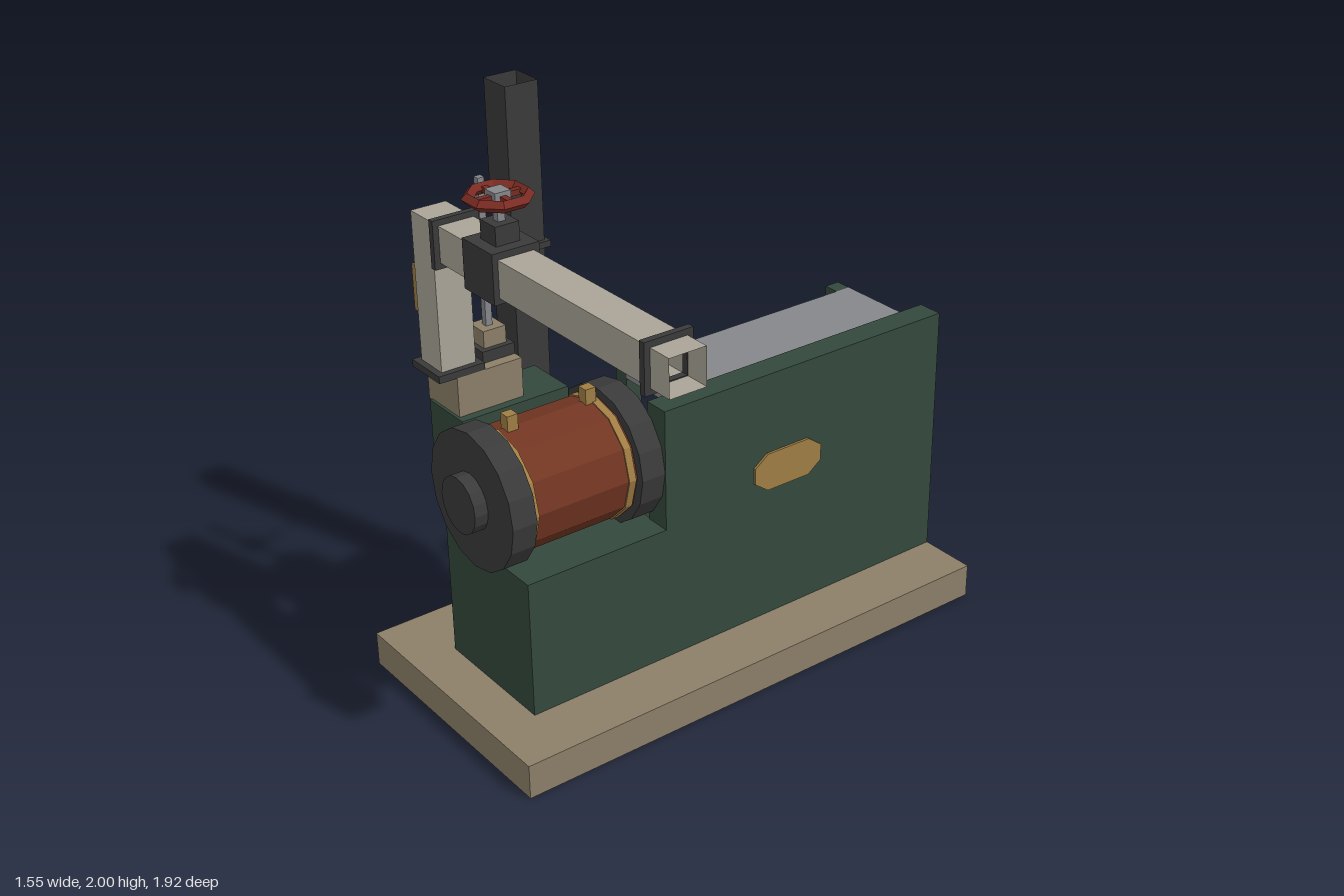
import * as THREE from 'three';

const paint = (name, color) => {
  const m = new THREE.MeshStandardMaterial({ color, side: THREE.DoubleSide, flatShading: true });
  m.name = name;
  return m;
};

export function createModel() {
  const root = new THREE.Group();
  root.name = 'steamEngine';
  const stone = paint('stone', 0x8c7f68);
  const green = paint('darkGreen', 0x34483c);
  const grey = paint('steelGrey', 0x86878b);
  const black = paint('ironBlack', 0x3a3a3b);
  const copper = paint('copperBrown', 0x733622);
  const brass = paint('brass', 0xa07d44);
  const cream = paint('pipeCream', 0xaaa497);
  const red = paint('wheelRed', 0x7a2b22);

  const add = (name, geo, mat, x = 0, y = 0, z = 0) => {
    const mesh = new THREE.Mesh(geo, mat);
    mesh.name = name;
    mesh.position.set(x, y, z);
    root.add(mesh);
    return mesh;
  };

  // box between limits; open lists faces left out (0..5 = +x -x +y -y +z -z)
  const box = (name, mat, [x0, x1], [y0, y1], [z0, z1], open = []) => {
    const geo = new THREE.BoxGeometry(x1 - x0, y1 - y0, z1 - z0);
    if (open.length) {
      const index = Array.from(geo.index.array);
      geo.setIndex(index.filter((_, i) => !open.includes(Math.floor(i / 6))));
      geo.clearGroups();
    }
    return add(name, geo, mat, (x0 + x1) / 2, (y0 + y1) / 2, (z0 + z1) / 2);
  };

  // cylinder lying along z
  const drum = (name, mat, r, z0, z1, sides, x, y) => {
    const geo = new THREE.CylinderGeometry(r, r, z1 - z0, sides).rotateX(Math.PI / 2);
    return add(name, geo, mat, x, y, (z0 + z1) / 2);
  };

  // hollow base with ribs below
  box('base', stone, [-0.72, 0.235], [0, 0.125], [-0.96, 0.96], [3, 5]);
  box('baseLongRib', stone, [0.107, 0.112], [0, 0.124], [-0.96, 0.96]);
  box('baseCrossRib', stone, [-0.72, 0.235], [0, 0.124], [0.38, 0.385]);

  // bed: front block, low and tall side walls
  box('bedFront', green, [-0.47, 0.02], [0.125, 0.625], [0.245, 0.795]);
  box('lowWall', green, [-0.47, -0.37], [0.125, 0.625], [-0.96, 0.25], [3, 5]);
  box('tallWall', green, [-0.075, 0.02], [0.125, 1.065], [-0.96, 0.25], [3, 5]);

  // slide bars and their posts
  box('upperSlide', grey, [-0.37, -0.075], [0.99, 1.05], [-0.88, 0.12]);
  box('lowerSlide', grey, [-0.37, -0.075], [0.635, 0.7], [-0.88, 0.12]);
  for (const z of [-0.88, 0.06]) box('slidePost', green, [-0.43, -0.37], [0.625, 1.05], [z, z + 0.06]);

  // side bracket
  box('bracket', green, [-0.54, -0.47], [0.61, 0.79], [-0.42, -0.3]);
  box('bracketCap', grey, [-0.54, -0.47], [0.79, 0.85], [-0.42, -0.3]);

  // oval plate on the tall wall
  const plate = new THREE.Shape();
  plate.setFromPoints([[-0.145, -0.03], [-0.09, -0.07], [0.09, -0.07], [0.145, -0.03],
    [0.145, 0.03], [0.09, 0.07], [-0.09, 0.07], [-0.145, 0.03]].map(p => new THREE.Vector2(...p)));
  const plateGeo = new THREE.ExtrudeGeometry(plate, { depth: 0.009, bevelEnabled: false }).rotateY(Math.PI / 2);
  add('sidePlate', plateGeo, brass, 0.021, 0.7, -0.265);

  // main cylinder with bands, covers and fittings
  const cx = -0.225, cy = 0.837;
  drum('cylinderBody', copper, 0.213, 0.3, 0.78, 12, cx, cy);
  for (const z of [0.347, 0.722]) drum('cylinderBand', brass, 0.218, z, z + 0.027, 12, cx, cy);
  drum('rearCover', black, 0.243, 0.247, 0.34, 16, cx, cy);
  drum('frontCover', black, 0.243, 0.747, 0.837, 16, cx, cy);
  drum('coverHub', black, 0.1, 0.837, 0.885, 16, cx, cy);
  for (const z of [0.38, 0.68]) box('oilCup', brass, [cx - 0.02, cx + 0.02], [1.03, 1.1], [z - 0.02, z + 0.02]);
  drum('rodGland', brass, 0.057, 0.145, 0.25, 8, cx, cy);
  box('glandFlange', black, [-0.318, -0.132], [cy - 0.035, cy + 0.035], [0.155, 0.177]);

  // valve chest, bolted cover and small gland
  box('valveChest', green, [-0.58, -0.38], [0.65, 1.03], [0.35, 0.76]);
  box('chestCover', black, [-0.607, -0.58], [0.67, 1.0], [0.37, 0.74]);
  for (const y of [0.72, 0.975])
    for (const z of [0.42, 0.535, 0.665]) box('coverBolt', grey, [-0.625, -0.607], [y - 0.015, y + 0.015], [z - 0.015, z + 0.015]);
  box('chestGland', brass, [-0.53, -0.475], [0.78, 0.84], [0.28, 0.35]);
  box('chestTop', stone, [-0.6, -0.412], [1.025, 1.17], [0.505, 0.75]);

  // governor rod
  box('rodFlange', black, [-0.577, -0.452], [1.17, 1.21], [0.505, 0.627]);
  box('rodSocket', stone, [-0.557, -0.472], [1.21, 1.27], [0.523, 0.608]);
  box('controlRod', grey, [-0.527, -0.503], [1.27, 1.78], [0.553, 0.577]);
  box('rodClamp', brass, [-0.545, -0.485], [1.485, 1.545], [0.535, 0.595]);
  box('controlLever', grey, [-0.523, -0.507], [1.505, 1.523], [0.437, 0.54]);

  // steam pipe with open end and flanges
  box('pipeBaseFlange', black, [-0.577, -0.412], [1.17, 1.195], [0.645, 0.815]);
  box('verticalPipe', cream, [-0.557, -0.434], [1.195, 1.59], [0.665, 0.792], [2, 3]);
  box('pipeElbow', cream, [-0.557, -0.434], [1.587, 1.71], [0.665, 0.792], [0, 3]);
  box('horizontalPipe', cream, [-0.434, 0.775], [1.587, 1.71], [0.665, 0.792], [0, 1]);
  for (const x of [-0.405, 0.678]) {
    const x0 = x - 0.01, x1 = x + 0.012;
    box('pipeFlange', black, [x0, x1], [1.567, 1.59], [0.645, 0.812]);
    box('pipeFlange', black, [x0, x1], [1.707, 1.73], [0.645, 0.812]);
    box('pipeFlange', black, [x0, x1], [1.587, 1.71], [0.645, 0.667]);
    box('pipeFlange', black, [x0, x1], [1.587, 1.71], [0.79, 0.812]);
  }

  // lubricator
  box('lubricator', brass, [-0.625, -0.557], [1.34, 1.5], [0.69, 0.765]);
  box('lubricatorCap', grey, [-0.61, -0.573], [1.5, 1.53], [0.71, 0.745]);

  // stop valve and hand wheel
  const vx = -0.142, vz = 0.728;
  box('valveBody', black, [vx - 0.083, vx + 0.083], [1.567, 1.732], [vz - 0.083, vz + 0.083]);
  box('valveBonnet', black, [vx - 0.042, vx + 0.042], [1.732, 1.795], [vz - 0.042, vz + 0.042]);
  box('valveStem', grey, [vx - 0.013, vx + 0.013], [1.795, 1.86], [vz - 0.013, vz + 0.013]);
  const rim = new THREE.TorusGeometry(0.092, 0.019, 4, 8).rotateZ(Math.PI / 8).rotateX(Math.PI / 2);
  add('wheelRim', rim, red, vx, 1.87, vz);
  for (const a of [0, Math.PI / 2])
    add('wheelSpoke', new THREE.BoxGeometry(0.18, 0.018, 0.02).rotateY(a), red, vx, 1.87, vz);
  box('wheelHub', grey, [vx - 0.028, vx + 0.028], [1.856, 1.892], [vz - 0.028, vz + 0.028]);

  // exhaust stack, open at the top
  box('exhaustStack', black, [-0.765, -0.64], [0.692, 2], [0.25, 0.375], [2]);
  box('exhaustElbow', black, [-0.64, -0.578], [0.7, 0.81], [0.25, 0.375]);
  for (const y of [0.797, 1.42]) {
    for (const x of [-0.78, -0.642]) box('stackFlange', black, [x, x + 0.017], [y, y + 0.023], [0.235, 0.39]);
    for (const z of [0.235, 0.373]) box('stackFlange', black, [-0.765, -0.64], [y, y + 0.023], [z, z + 0.017]);
  }

  return root;
}
